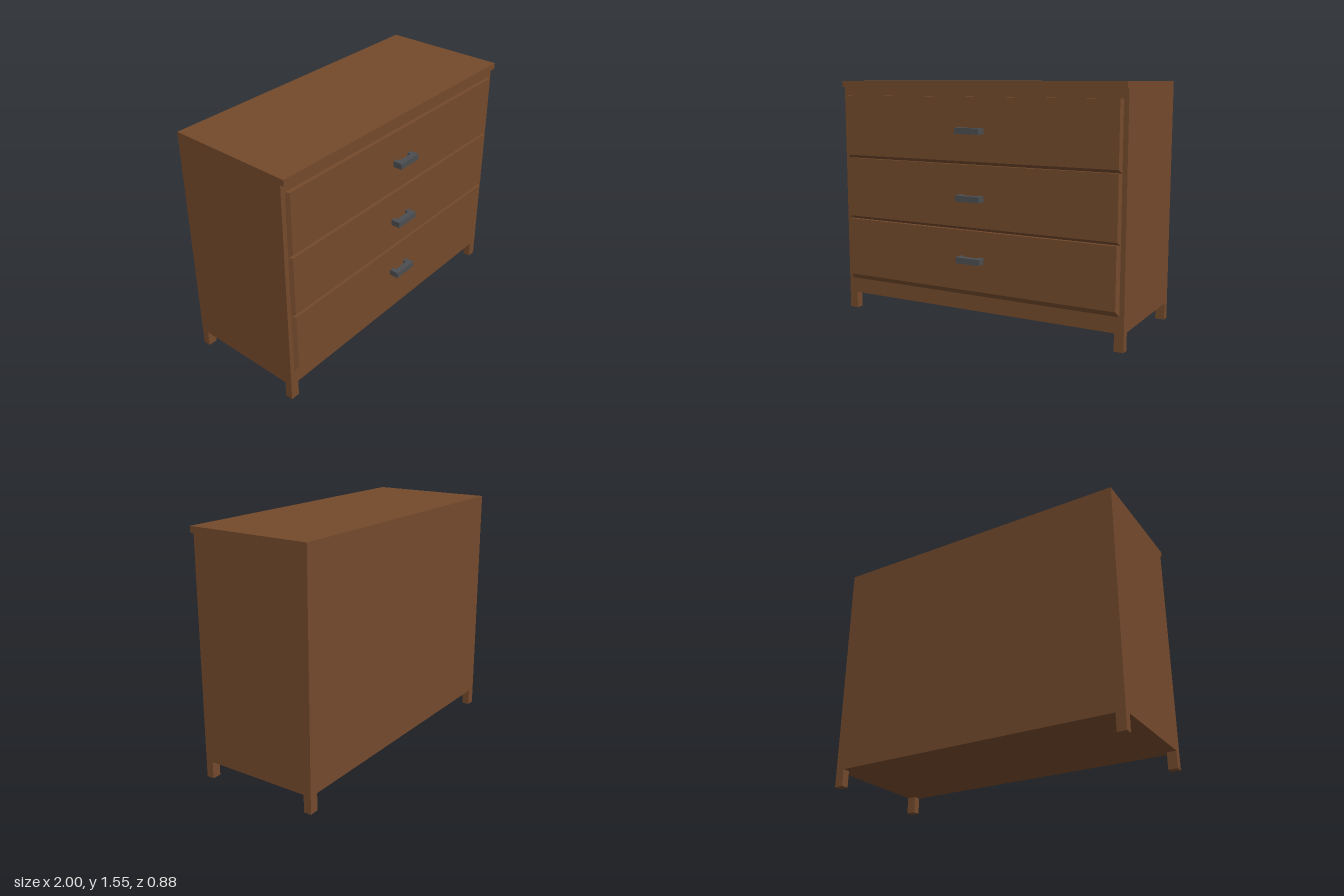
import * as THREE from 'three';

const wood = new THREE.MeshStandardMaterial({ color: 0x744a2c });
wood.name = 'brown wood';
const metal = new THREE.MeshStandardMaterial({ color: 0x4b4d50 });
metal.name = 'dark grey metal';

// Box given by its minimum and maximum corners
function block(name, [x0, y0, z0], [x1, y1, z1], material) {
  const geometry = new THREE.BoxGeometry(x1 - x0, y1 - y0, z1 - z0);
  geometry.translate((x0 + x1) / 2, (y0 + y1) / 2, (z0 + z1) / 2);
  const mesh = new THREE.Mesh(geometry, material);
  mesh.name = name;
  return mesh;
}

const BACK = -0.44, FRONT = 0.36, FACE = 0.385;

// Drawer front with bevelled sides and bottom edge, flat on top
function drawerFront(bottom, top, bevel, sideBevel) {
  const mesh = block('drawerFront', [-0.97, bottom, FRONT], [0.97, top, FACE], wood);
  const p = mesh.geometry.attributes.position;
  for (let i = 0; i < p.count; i++) {
    if (p.getZ(i) < (FRONT + FACE) / 2) continue;
    p.setX(i, p.getX(i) - Math.sign(p.getX(i)) * sideBevel);
    if (p.getY(i) < (bottom + top) / 2) p.setY(i, bottom + bevel);
  }
  mesh.geometry.computeVertexNormals();
  return mesh;
}

// U-shaped pull, extruded upward from its plan outline
function handle(y) {
  const height = 0.038;
  const outline = [
    [-0.085, 0], [-0.085, 0.06], [0.085, 0.06], [0.085, 0],
    [0.053, 0], [0.053, 0.022], [-0.053, 0.022], [-0.053, 0],
  ];
  const shape = new THREE.Shape(outline.map(([x, z]) => new THREE.Vector2(x, -z)));
  const geometry = new THREE.ExtrudeGeometry(shape, { depth: height, bevelEnabled: false });
  geometry.rotateX(-Math.PI / 2);
  const mesh = new THREE.Mesh(geometry, metal);
  mesh.name = 'handle';
  mesh.position.set(0, y - height / 2, FACE);
  return mesh;
}

export function createModel() {
  const model = new THREE.Group();
  model.name = 'chestOfDrawers';

  // Carcass and overhanging top
  model.add(block('cabinet', [-1, 0.11, BACK], [1, 1.51, FRONT], wood));
  model.add(block('topBoard', [-1, 1.51, BACK], [1, 1.55, FACE], wood));

  // Four square corner legs
  for (const x of [-1, 0.94]) {
    for (const z of [BACK, FRONT - 0.05]) {
      model.add(block('leg', [x, 0, z], [x + 0.06, 0.11, z + 0.05], wood));
    }
  }

  // Drawers: bottom, top, bottom bevel, side bevel, handle height
  const drawers = [
    [0.21, 0.628, 0.033, 0.016, 0.445],
    [0.628, 1.04, 0.02, 0.012, 0.834],
    [1.04, 1.455, 0.02, 0.012, 1.25],
  ];
  for (const [bottom, top, bevel, sideBevel, handleY] of drawers) {
    const drawer = new THREE.Group();
    drawer.name = 'drawer';
    drawer.add(drawerFront(bottom, top, bevel, sideBevel), handle(handleY));
    model.add(drawer);
  }

  return model;
}
